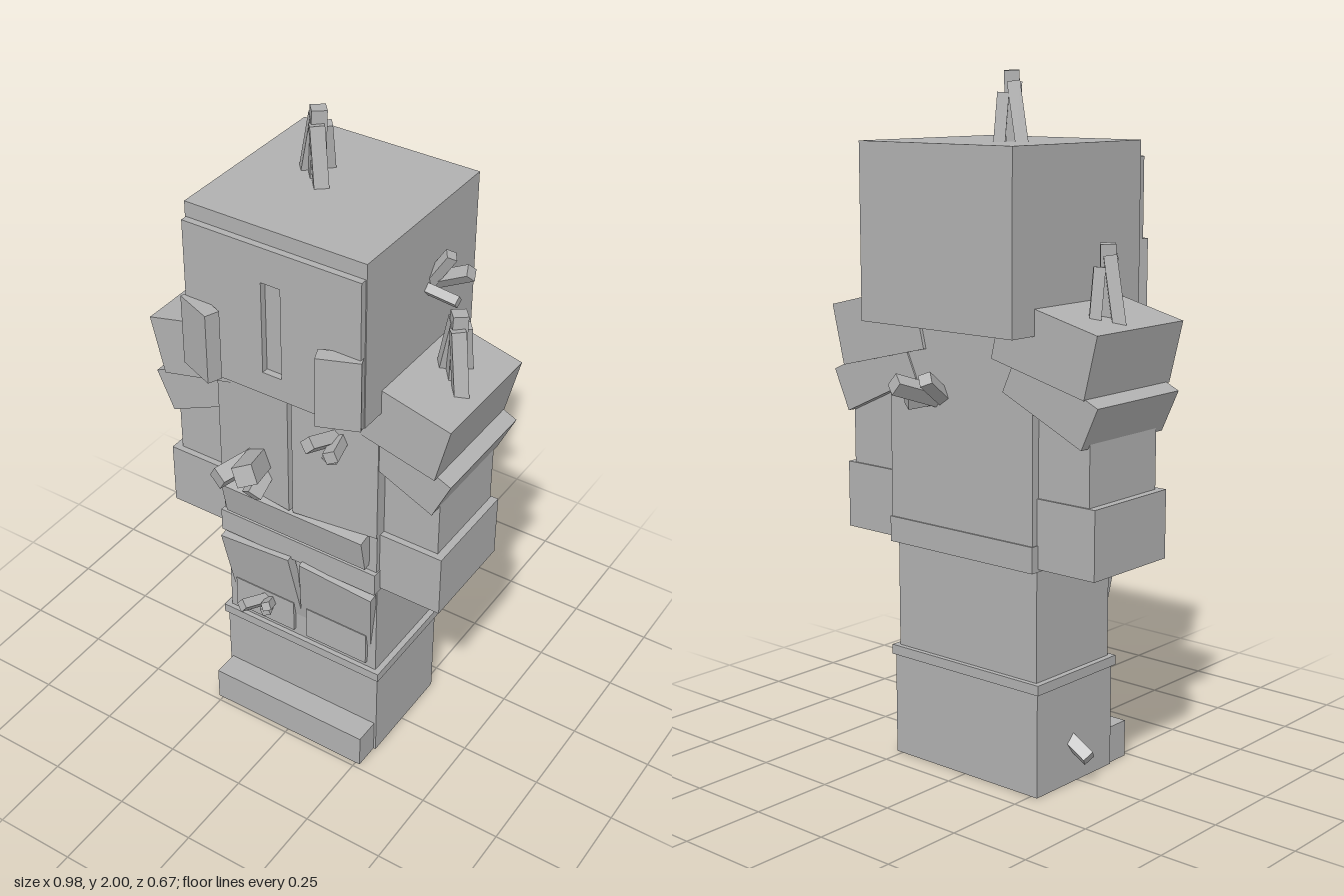
import * as THREE from 'three';

const grey = new THREE.MeshStandardMaterial({ color: 0xb0b0b0 });
grey.name = 'stone grey';

export function createModel() {
  const model = new THREE.Group();
  model.name = 'armouredFigure';

  // Box given by its extents on each axis
  const block = (name, [x0, x1], [y0, y1], [z0, z1]) => {
    const m = new THREE.Mesh(new THREE.BoxGeometry(x1 - x0, y1 - y0, z1 - z0), grey);
    m.position.set((x0 + x1) / 2, (y0 + y1) / 2, (z0 + z1) / 2);
    m.name = name;
    model.add(m);
    return m;
  };
  // Tilted box on both sides, mirrored across x
  const pair = (name, size, [x, y, z], [rx, ry, rz] = [0, 0, 0]) => {
    for (const s of [1, -1]) {
      const m = new THREE.Mesh(new THREE.BoxGeometry(...size), grey);
      m.position.set(s * x, y, z);
      m.rotation.set(rx, s * ry, s * rz);
      m.name = (s > 0 ? 'left' : 'right') + name;
      model.add(m);
    }
  };
  // Cluster of square crystal sticks: [base, tip, width]
  const crystals = (name, [x, y, z], sticks) => {
    const g = new THREE.Group();
    g.name = name;
    g.position.set(x, y, z);
    for (const [a, b, w] of sticks) {
      const from = new THREE.Vector3(...a), to = new THREE.Vector3(...b);
      const dir = to.clone().sub(from);
      const geo = new THREE.BoxGeometry(w, dir.length(), w).rotateY(0.7);
      const m = new THREE.Mesh(geo, grey);
      m.position.copy(from).add(to).multiplyScalar(0.5);
      m.quaternion.setFromUnitVectors(new THREE.Vector3(0, 1, 0), dir.normalize());
      m.name = 'crystal';
      g.add(m);
    }
    model.add(g);
  };

  // Head with a slotted face plate
  block('head', [-0.278, 0.278], [1.31, 1.81], [-0.295, 0.255]);
  const face = new THREE.Shape();
  face.moveTo(-0.275, 1.31).lineTo(0.275, 1.31).lineTo(0.275, 1.765).lineTo(-0.275, 1.765).closePath();
  const slot = new THREE.Path();
  slot.moveTo(-0.03, 1.38).lineTo(-0.03, 1.66).lineTo(0.03, 1.66).lineTo(0.03, 1.38).closePath();
  face.holes.push(slot);
  const plate = new THREE.Mesh(
    new THREE.ExtrudeGeometry(face, { depth: 0.022, bevelEnabled: false }), grey);
  plate.position.z = 0.253;
  plate.name = 'facePlate';
  model.add(plate);
  pair('CheekGuard', [0.122, 0.215, 0.044], [0.22, 1.4275, 0.287], [0, 0.38, 0]);

  // Torso, split chest plates and belt
  block('torso', [-0.265, 0.265], [0.73, 1.312], [-0.195, 0.16]);
  pair('ChestPlate', [0.262, 0.45, 0.04], [0.134, 1.087, 0.163], [0, 0.13, 0]);
  block('belt', [-0.268, 0.268], [0.655, 0.73], [-0.2, 0.175]);
  block('beltFlap', [-0.24, 0.24], [0.75, 0.862], [0.145, 0.195]).rotation.x = 0.2;

  // Arms
  pair('UpperArm', [0.19, 0.34, 0.295], [0.345, 1.02, -0.022]);
  pair('Gauntlet', [0.2, 0.198, 0.32], [0.363, 0.762, -0.015]);
  pair('ShoulderPad', [0.33, 0.18, 0.38], [0.307, 1.283, -0.015], [0, 0, -0.24]);
  pair('LowerShoulderPad', [0.3, 0.13, 0.36], [0.325, 1.143, -0.02], [0, 0, -0.43]);

  // Legs, boots and thigh plates
  block('legs', [-0.262, 0.262], [0.32, 0.66], [-0.172, 0.15]);
  block('boots', [-0.272, 0.272], [0, 0.31], [-0.18, 0.155]);
  block('bootRim', [-0.28, 0.28], [0.305, 0.334], [-0.187, 0.165]);
  block('toes', [-0.265, 0.265], [0, 0.11], [0.15, 0.235]);
  pair('ThighPlate', [0.245, 0.3, 0.03], [0.128, 0.505, 0.15], [0.17, 0, -0.09]);
  pair('KneePlate', [0.21, 0.11, 0.02], [0.128, 0.41, 0.151]);

  // Upright crystals on head and shoulders
  const upright = [
    [[0, -0.03, 0], [0, 0.19, -0.01], 0.042],
    [[0.045, -0.03, 0.045], [0.01, 0.155, 0.015], 0.04],
    [[-0.05, -0.03, -0.02], [-0.015, 0.16, -0.02], 0.036],
    [[0.0, -0.03, -0.065], [0.0, 0.13, -0.045], 0.032],
  ];
  crystals('headCrystals', [-0.07, 1.81, -0.045], upright);
  crystals('leftShoulderCrystals', [0.385, 1.36, -0.02], upright);
  crystals('rightShoulderCrystals', [-0.385, 1.36, -0.02], upright);

  // Sideways crystals
  crystals('templeCrystals', [0.27, 1.6, -0.08], [
    [[0, -0.01, 0.01], [0.055, 0.08, 0.0], 0.03],
    [[0, -0.02, -0.01], [0.11, 0.04, -0.01], 0.034],
    [[0, -0.02, 0.035], [0.1, -0.03, 0.035], 0.026],
  ]);
  crystals('leftChestCrystals', [0.14, 1.17, 0.17], [
    [[0, 0, 0], [-0.02, 0.04, 0.12], 0.036],
    [[0.01, 0, 0], [0.04, 0.01, 0.1], 0.034],
    [[0, -0.02, 0], [0.01, -0.04, 0.06], 0.032],
  ]);
  crystals('rightChestCrystals', [-0.12, 0.98, 0.17], [
    [[0, 0.01, 0], [0.05, 0.06, 0.15], 0.06],
    [[-0.02, 0, 0], [-0.06, -0.01, 0.13], 0.05],
    [[0.02, -0.02, 0], [0.02, -0.07, 0.08], 0.045],
  ]);
  crystals('backCrystals', [0.09, 1.1, -0.18], [
    [[0, 0, 0], [0.04, 0.05, -0.14], 0.044],
    [[-0.02, 0, 0], [-0.05, 0.07, -0.11], 0.036],
    [[0.02, 0, 0], [0.06, -0.01, -0.07], 0.036],
  ]);
  crystals('thighCrystals', [-0.12, 0.43, 0.15], [
    [[0, 0, 0], [-0.03, 0.03, 0.1], 0.03],
    [[0.01, 0, 0], [0.03, 0.025, 0.06], 0.026],
    [[0, -0.01, 0], [0.02, -0.01, 0.05], 0.026],
  ]);
  crystals('bootCrystal', [-0.26, 0.125, -0.02], [[[0, 0, 0], [-0.07, -0.04, 0], 0.036]]);

  return model;
}
